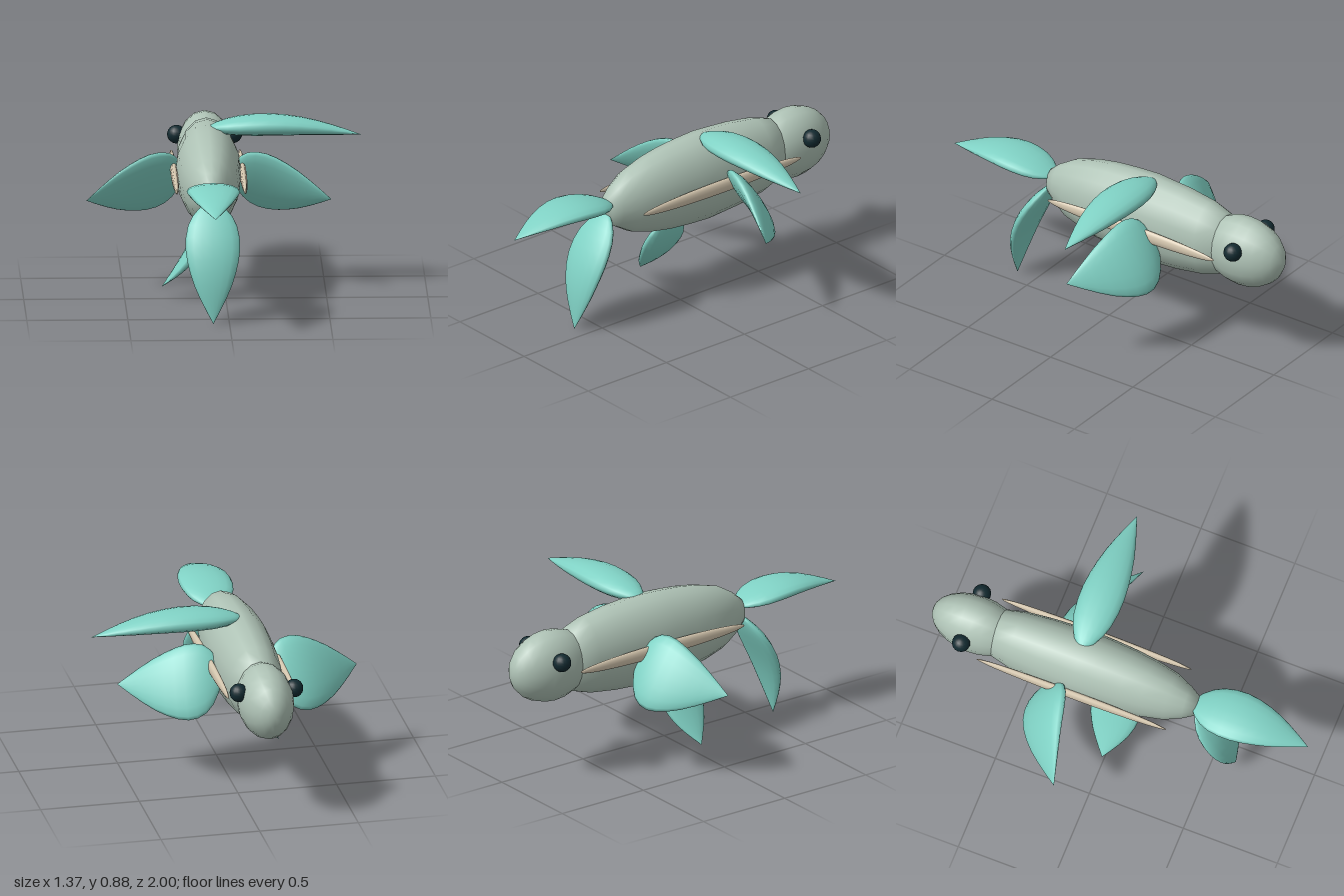
import * as THREE from 'three';

const V = (x, y, z) => new THREE.Vector3(x, y, z);
const AXIS_X = -0.08, AXIS_Y = 0.6;

const mat = (color) => new THREE.MeshStandardMaterial({ color });

// Leaf outline: position along the fin, share of the full width
const LEAF = [[0, 0], [0.015, 0.25], [0.05, 0.47], [0.12, 0.73], [0.2, 0.9], [0.3, 0.99], [0.4, 1],
  [0.5, 0.94], [0.6, 0.83], [0.7, 0.68], [0.8, 0.48], [0.9, 0.25], [1, 0]];

// Bowed leaf with an elliptical cross-section, pointed at the tip
function finGeometry({ base, tip, across, bow, width, thick }) {
  const axis = tip.clone().sub(base).normalize();
  const w = across.clone().addScaledVector(axis, -across.dot(axis)).normalize();
  const n = axis.clone().cross(w);
  const sides = 16, pos = [], idx = [];
  LEAF.forEach(([t, s]) => {
    const c = base.clone().lerp(tip, t).addScaledVector(bow, Math.sin(Math.PI * t));
    for (let j = 0; j < sides; j++) {
      const a = (j / sides) * Math.PI * 2;
      const p = c.clone()
        .addScaledVector(w, Math.cos(a) * s * width)
        .addScaledVector(n, Math.sin(a) * s * thick);
      pos.push(p.x, p.y, p.z);
    }
  });
  for (let i = 0; i < LEAF.length - 1; i++) {
    for (let j = 0; j < sides; j++) {
      const k = (j + 1) % sides;
      const a = i * sides + j, b = i * sides + k, c = a + sides, d = b + sides;
      if (i > 0) idx.push(a, b, c);
      if (i < LEAF.length - 2) idx.push(b, d, c);
      else if (i === 0) idx.push(b, d, c);
    }
  }
  const g = new THREE.BufferGeometry();
  g.setAttribute('position', new THREE.Float32BufferAttribute(pos, 3));
  g.setIndex(idx);
  g.computeVertexNormals();
  return g;
}

export function createModel() {
  const model = new THREE.Group();
  model.name = 'fish';
  // All parts sit relative to the long axis of the body
  const fish = new THREE.Group();
  fish.name = 'fishParts';
  fish.position.set(AXIS_X, AXIS_Y, 0);
  model.add(fish);

  const skin = mat(0xafc3b6), finMat = mat(0x80d2c5), cream = mat(0xd6c8b0), dark = mat(0x122a30);

  const add = (name, geometry, material, x = 0, y = 0, z = 0) => {
    const m = new THREE.Mesh(geometry, material);
    m.name = name;
    m.position.set(x, y, z);
    fish.add(m);
    return m;
  };

  // Body: turned profile, narrower sideways than it is tall
  const profile = [[0, -0.7], [0.1, -0.69], [0.168, -0.645], [0.2, -0.55], [0.222, -0.4], [0.236, -0.2],
    [0.23, -0.08], [0.219, 0.04], [0.2, 0.15], [0.165, 0.27], [0.112, 0.355], [0.07, 0.405], [0, 0.42]];
  const bodyGeo = new THREE.LatheGeometry(profile.map(([r, z]) => new THREE.Vector2(r, z)), 16);
  bodyGeo.rotateX(Math.PI / 2);
  bodyGeo.scale(0.69, 1, 1);
  add('body', bodyGeo, skin);

  // Head
  const headGeo = new THREE.SphereGeometry(1, 16, 12);
  headGeo.rotateX(Math.PI / 2);
  headGeo.scale(0.138, 0.185, 0.23);
  add('head', headGeo, skin, 0, 0, -0.768);

  // Eyes and side stripes
  const stripeGeo = new THREE.SphereGeometry(1, 12, 24);
  stripeGeo.rotateX(Math.PI / 2);
  stripeGeo.scale(0.018, 0.036, 0.505);
  for (const [side, s] of [['left', 1], ['right', -1]]) {
    add(side + 'Eye', new THREE.SphereGeometry(0.046, 16, 12), dark, s * 0.14, 0.065, -0.793);
    add(side + 'Stripe', stripeGeo, cream, s * 0.17, 0, -0.195);
  }

  const fin = (name, spec) => add(name, finGeometry(spec), finMat);

  // Paired side fins
  for (const [side, s] of [['left', 1], ['right', -1]]) {
    fin(side + 'SideFin', {
      base: V(s * 0.12, -0.035, -0.31), tip: V(s * 0.607, -0.125, -0.115),
      across: V(s * -0.08, 0.34, 0.18), bow: V(s * -0.02, 0, -0.065), width: 0.19, thick: 0.04,
    });
  }

  // Back fin, sweeping out to the left
  fin('backFin', {
    base: V(0, 0.22, -0.21), tip: V(0.76, 0.18, -0.213),
    across: V(0, 0, 1), bow: V(0, 0.032, 0), width: 0.11, thick: 0.052,
  });

  // Belly fin, pointing down to the right
  fin('bellyFin', {
    base: V(0, -0.18, -0.005), tip: V(-0.238, -0.54, -0.005),
    across: V(0, 0, 1), bow: V(0.025, -0.015, 0), width: 0.125, thick: 0.035,
  });

  // Tail: upper and lower lobes
  fin('upperTailFin', {
    base: V(0, 0.03, 0.385), tip: V(0, 0.01, 0.998),
    across: V(1, 0, 0), bow: V(0, 0.052, 0), width: 0.132, thick: 0.04,
  });
  fin('lowerTailFin', {
    base: V(0, -0.025, 0.405), tip: V(0, -0.598, 0.613),
    across: V(1, 0, 0), bow: V(0, 0.015, 0.045), width: 0.135, thick: 0.04,
  });

  return model;
}
